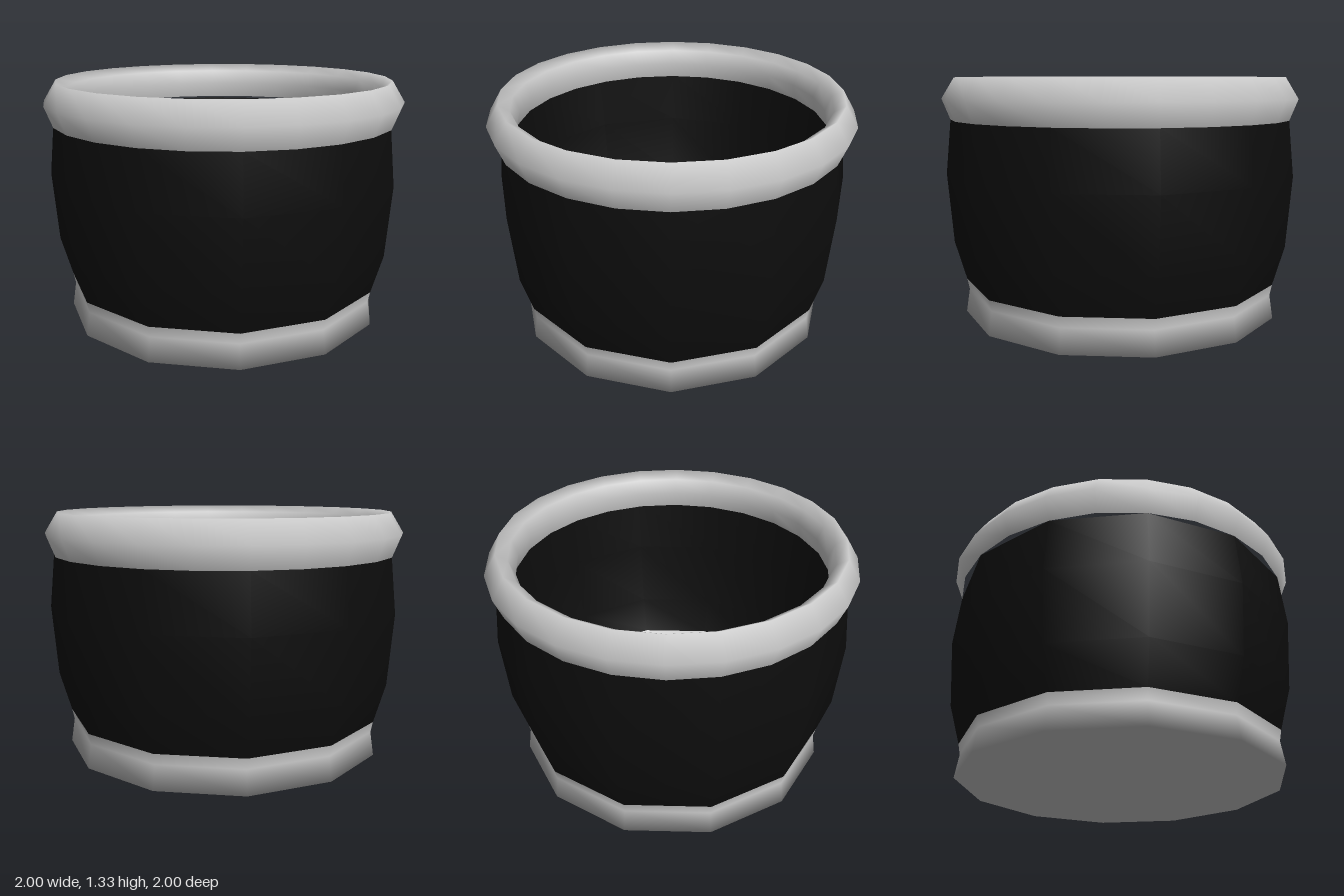
import * as THREE from 'three';

const grey = new THREE.MeshStandardMaterial({ color: 0xc8c8c8 });
grey.name = 'paleGrey';
const black = new THREE.MeshStandardMaterial({ color: 0x0d0d0d });
black.name = 'black';

// Turns a profile of [radius, height] pairs; rising profiles face outwards.
function turned(name, profile, sides, material) {
  const points = profile.map(([r, y]) => new THREE.Vector2(r, y));
  const mesh = new THREE.Mesh(new THREE.LatheGeometry(points, sides), material);
  mesh.name = name;
  return mesh;
}

export function createModel() {
  const model = new THREE.Group();
  model.name = 'pot';

  // Foot with closed underside
  model.add(turned('foot', [[0, 0], [0.9, 0], [0.88, 0.13], [0.892, 0.19]], 12, grey));

  // Bulging outer wall, and inner wall tapering to the floor
  model.add(turned('outerWall', [[0.892, 0.19], [0.955, 0.41], [0.985, 0.8], [0.955, 1.1]], 12, black));
  model.add(turned('innerWall', [[0.955, 1.1], [0.92, 0.8], [0.87, 0.41], [0.79, 0.2]], 12, black));

  // Floor, its normals leaning inwards to blend softly with the wall
  const floor = turned('floor', [[0.79, 0.2], [0.4, 0.2], [0, 0.2]], 12, grey);
  const { position, normal } = floor.geometry.attributes;
  const n = new THREE.Vector3();
  for (let i = 0; i < position.count; i++) {
    n.set(-position.getX(i) * 0.9, 1, -position.getZ(i) * 0.9).normalize();
    normal.setXYZ(i, n.x, n.y, n.z);
  }
  model.add(floor);

  // Rounded rim, open underneath
  model.add(turned('rim', [
    [0.955, 1.1], [1, 1.215], [0.93, 1.33], [0.87, 1.29], [0.84, 1.21], [0.86, 1.12],
  ], 24, grey));

  return model;
}
